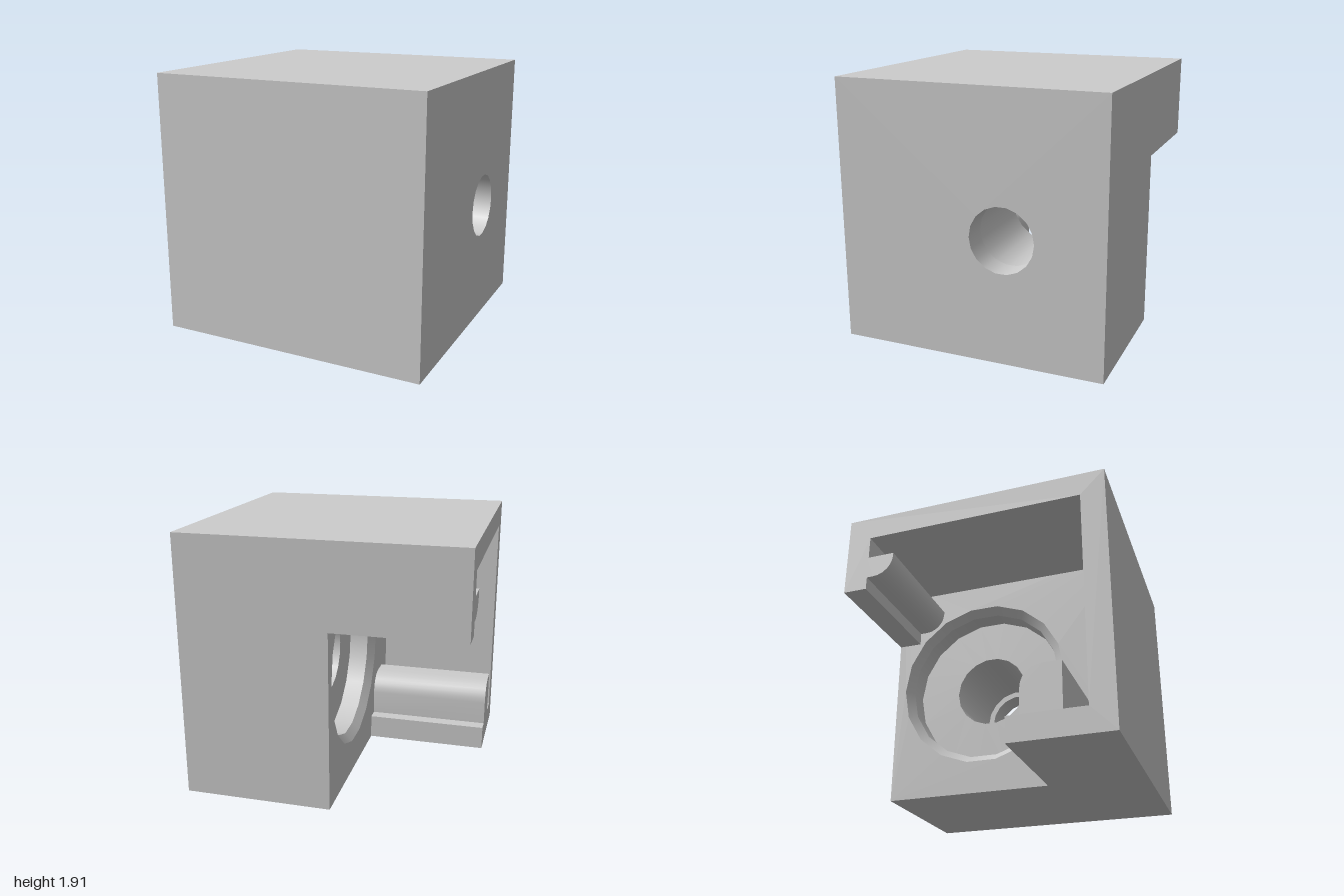
import * as THREE from 'three';
import { toCreasedNormals } from 'three/addons/utils/BufferGeometryUtils.js';

const H = 1.91, Z = 0.976;          // height, half depth
const X0 = -0.075;                  // plane between solid block and open bay
const BORE = { z: -0.25, y: 0.89 }; // bore axis, parallel to x
const SEG = 18;

export function createModel() {
  const group = new THREE.Group();
  const grey = new THREE.MeshStandardMaterial({ color: 0xcccccc });
  grey.name = 'plain grey';

  const add = (name, geometry, parent = group) => {
    const mesh = new THREE.Mesh(geometry, grey);
    mesh.name = name;
    parent.add(mesh);
    return mesh;
  };

  // Cross-sections are [z, y] points; local x becomes -z after the quarter turn
  const toVec = ([z, y]) => new THREE.Vector2(-z, y);
  const arc = (z, y, r, from, to, n) => Array.from({ length: n + 1 }, (_, i) => {
    const a = from + (to - from) * i / n;
    return [z + r * Math.cos(a), y + r * Math.sin(a)];
  });
  const sweep = (name, points) => {
    const shape = new THREE.Shape(points.map(toVec));
    let geo = new THREE.ExtrudeGeometry(shape, { depth: X0 + 1, bevelEnabled: false });
    geo.rotateY(Math.PI / 2).translate(-1, 0, 0);
    add(name, toCreasedNormals(geo, 0.6));
  };

  // Solid block: four outer sides, two pierced end faces and a stepped bore
  const block = new THREE.Group();
  block.name = 'solidBlock';
  group.add(block);
  const sides = new THREE.BoxGeometry(1 - X0, H, 2 * Z);
  sides.setIndex(Array.from(sides.index.array).slice(12)); // drop both x faces
  sides.clearGroups();
  sides.translate((1 + X0) / 2, H / 2, 0);
  add('blockSides', sides, block);

  const endFace = (name, x, radius, turn) => {
    const s = Math.sign(turn);
    const flip = ([z, y]) => new THREE.Vector2(-s * z, y);
    const shape = new THREE.Shape([[-Z, 0], [Z, 0], [Z, H], [-Z, H]].map(flip));
    const hole = arc(BORE.z, BORE.y, radius, 0, Math.PI * 2, SEG).slice(0, -1);
    shape.holes.push(new THREE.Path(hole.map(flip)));
    const geo = new THREE.ShapeGeometry(shape);
    geo.rotateY(turn).translate(x, 0, 0);
    add(name, geo, block);
  };
  endFace('outerEndFace', 1, 0.235, Math.PI / 2);
  endFace('innerEndFace', X0, 0.656, -Math.PI / 2);

  // Bore profile as [radius, x], from the outside inwards
  const bore = [[0.235, 1], [0.235, 0.82], [0.28, 0.82], [0.28, 0.125],
    [0.6, 0.125], [0.6, -0.02], [0.656, X0]];
  const names = ['shaftHole', 'shaftStep', 'wideBore', 'seatFloor', 'seatWall', 'seatChamfer'];
  names.forEach((name, i) => {
    const pts = [bore[i], bore[i + 1]].map(([r, x]) => new THREE.Vector2(r, x));
    const geo = new THREE.LatheGeometry(pts, SEG);
    geo.rotateZ(-Math.PI / 2).translate(0, BORE.y, BORE.z);
    add(name, geo, block);
  });

  // Open bay: floor strip, front wall, roof and short back wall in one section
  sweep('bayWalls', [[-Z, 1.3], [-Z, H], [Z, H], [Z, 0], [0.265, 0], [0.265, 0.18],
    [0.8, 0.18], [0.8, 1.735], [-0.8, 1.735], [-0.8, 1.3]]);

  // Rails with one rounded corner, on the floor and on the back wall
  sweep('floorRail', [[0.64, 0.17], [0.36, 0.17],
    ...arc(0.51, 0.36, 0.15, Math.PI, Math.PI / 2, 6), [0.64, 0.51]]);
  sweep('backRail', [[-0.81, 1.564], [-0.6, 1.564],
    ...arc(-0.75, 1.545, 0.15, 0, -Math.PI / 2, 6), [-0.81, 1.395]]);

  return group;
}
